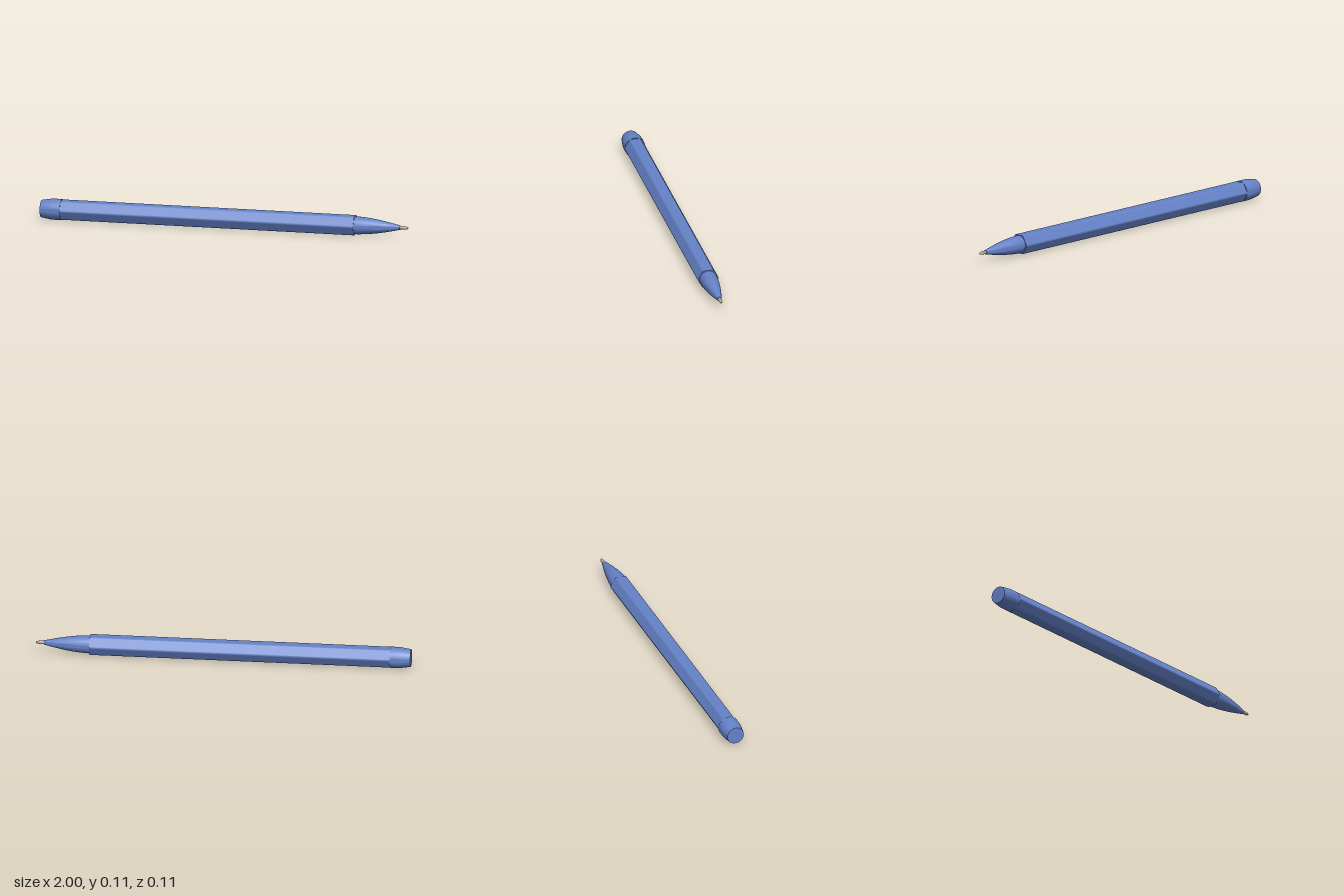
import * as THREE from 'three';
import { toCreasedNormals } from 'three/addons/utils/BufferGeometryUtils.js';

const AXIS_Y = 0.056;

// Round part turned about the pen's axis; profile is [radius, x] from back to tip
function turned(name, profile, material) {
  const points = profile.map(([r, x]) => new THREE.Vector2(r, x));
  const geometry = toCreasedNormals(new THREE.LatheGeometry(points, 48), 0.6);
  geometry.rotateZ(-Math.PI / 2);
  const mesh = new THREE.Mesh(geometry, material);
  mesh.name = name;
  return mesh;
}

// Hexagonal prism with rounded corners: each corner is an arc of seven points
function hexBarrel(x0, x1, apothem, rounding) {
  const perCorner = 7, count = perCorner * 6;
  const geometry = new THREE.CylinderGeometry(1, 1, x1 - x0, count);
  const pos = geometry.attributes.position, nor = geometry.attributes.normal;
  const centre = (apothem - rounding) / Math.cos(Math.PI / 6);
  for (let v = 0; v < pos.count; v++) {
    const x = pos.getX(v), z = pos.getZ(v);
    if (Math.hypot(x, z) < 0.5) continue;
    const i = Math.round(Math.atan2(x, z) / (2 * Math.PI) * count);
    const k = Math.round(i / perCorner);
    const corner = k * Math.PI / 3;
    const phi = corner + (i - k * perCorner) * Math.PI / 18;
    pos.setX(v, centre * Math.sin(corner) + rounding * Math.sin(phi));
    pos.setZ(v, centre * Math.cos(corner) + rounding * Math.cos(phi));
    if (Math.abs(nor.getY(v)) < 0.5) nor.setXYZ(v, Math.sin(phi), 0, Math.cos(phi));
  }
  geometry.rotateZ(-Math.PI / 2);
  geometry.translate((x0 + x1) / 2, 0, 0);
  return geometry;
}

export function createModel() {
  const blue = new THREE.MeshStandardMaterial({ color: 0x6582c8 });
  blue.name = 'blue plastic';
  const metal = new THREE.MeshStandardMaterial({ color: 0xb4aa9a });
  metal.name = 'tip metal';

  const pen = new THREE.Group();
  pen.name = 'pen';

  const barrel = new THREE.Mesh(hexBarrel(-0.9, 0.71, 0.05, 0.012), blue);
  barrel.name = 'barrel';

  // Tapered plug closing the back end
  const endCap = turned('endCap', [
    [0, -1], [0.046, -1], [0.051, -0.972], [0.0545, -0.95], [0.056, -0.93],
    [0.056, -0.89], [0, -0.89],
  ], blue);

  // Gently convex nose cone
  const nose = turned('nose', [
    [0, 0.70], [0.0475, 0.70], [0.047, 0.73], [0.0435, 0.78], [0.037, 0.83],
    [0.028, 0.88], [0.0195, 0.92], [0.0115, 0.955], [0, 0.955],
  ], blue);

  // Writing point with its small ball
  const tip = turned('tip', [
    [0, 0.945], [0.009, 0.945], [0.009, 0.975], [0.0075, 0.988],
    [0.0065, 0.994], [0.004, 0.998], [0, 1],
  ], metal);

  pen.add(barrel, endCap, nose, tip);
  pen.children.forEach((part) => { part.position.y = AXIS_Y; });
  return pen;
}
